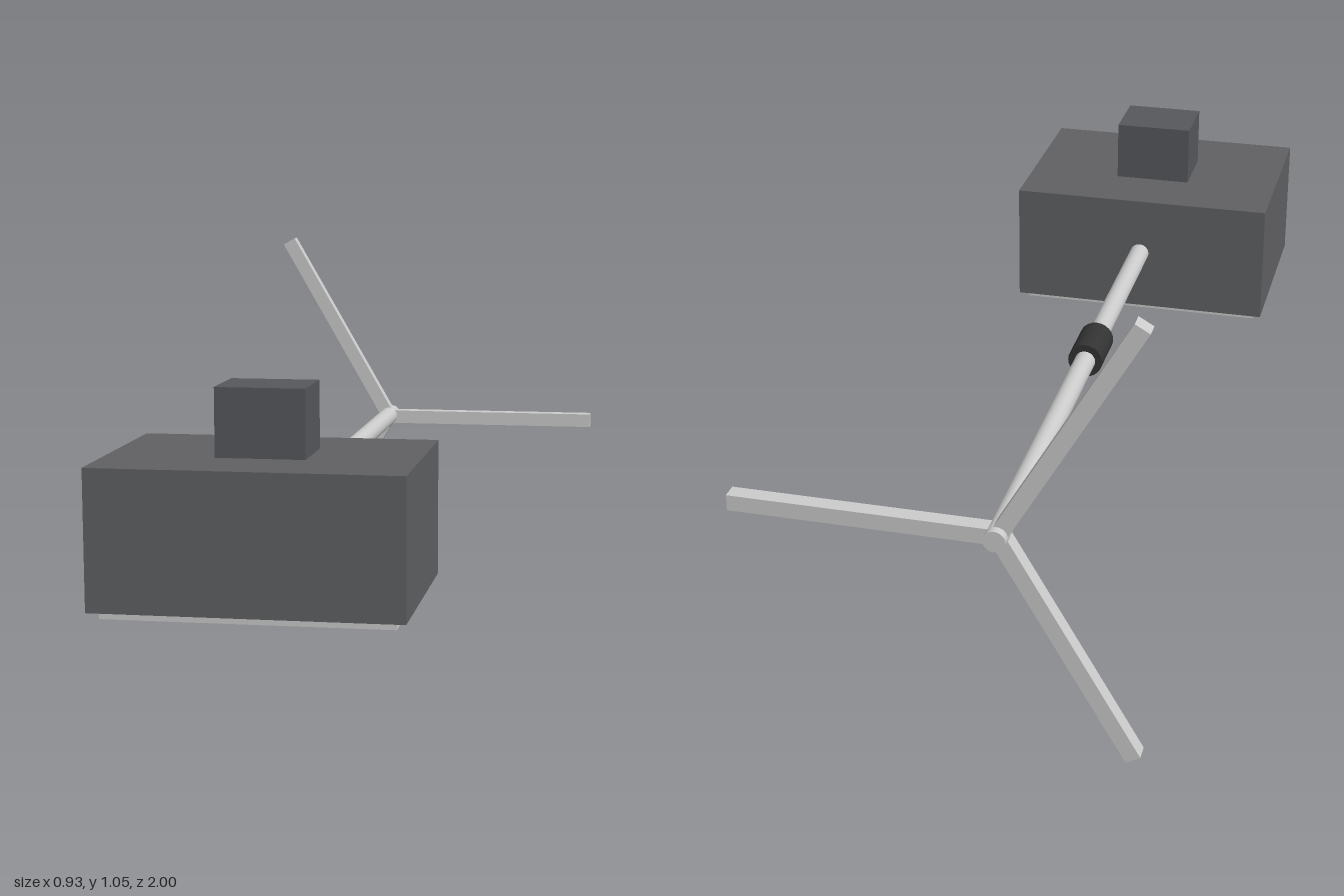
import * as THREE from 'three';

const AXIS_X = -0.13, AXIS_Y = 0.53;

export function createModel() {
  const model = new THREE.Group();
  const grey = new THREE.MeshStandardMaterial({ color: 0xcccccc });
  const dark = new THREE.MeshStandardMaterial({ color: 0x606163 });
  const slate = new THREE.MeshStandardMaterial({ color: 0x56585c });
  const black = new THREE.MeshStandardMaterial({ color: 0x333333 });

  const add = (name, geometry, material, x, y, z, parent = model) => {
    const mesh = new THREE.Mesh(geometry, material);
    mesh.name = name;
    mesh.position.set(x, y, z);
    parent.add(mesh);
    return mesh;
  };
  const box = (w, h, d) => new THREE.BoxGeometry(w, h, d);
  // Cylinder lying along z
  const rod = (radius, length) =>
    new THREE.CylinderGeometry(radius, radius, length, 24).rotateX(Math.PI / 2);

  // Main housing with a small block on top and a thin plate hung just below
  add('body', box(0.67, 0.304, 0.495), dark, AXIS_X, 0.527, 0.7525);
  add('topBlock', box(0.195, 0.15, 0.16), slate, AXIS_X, 0.754, 0.75);
  add('basePlate', box(0.625, 0.012, 0.45), grey, AXIS_X, 0.364, 0.7525);

  // Long tail boom with a joint sleeve
  add('boom', rod(0.025, 1.505), grey, AXIS_X, AXIS_Y, -0.2475);
  add('boomSleeve', rod(0.042, 0.128), black, AXIS_X, AXIS_Y, -0.092);

  // Three arms radiating from the rear end of the boom
  const arms = new THREE.Group();
  arms.name = 'rearArms';
  arms.position.set(AXIS_X, AXIS_Y - 0.002, -0.962);
  model.add(arms);
  const length = 0.594;
  for (let i = 0; i < 3; i++) {
    const angle = (i * Math.PI * 2) / 3;
    const arm = add('arm' + (i + 1), box(length, 0.037, 0.037), grey,
      Math.cos(angle) * length / 2, Math.sin(angle) * length / 2, 0, arms);
    arm.rotation.z = angle;
  }
  return model;
}
